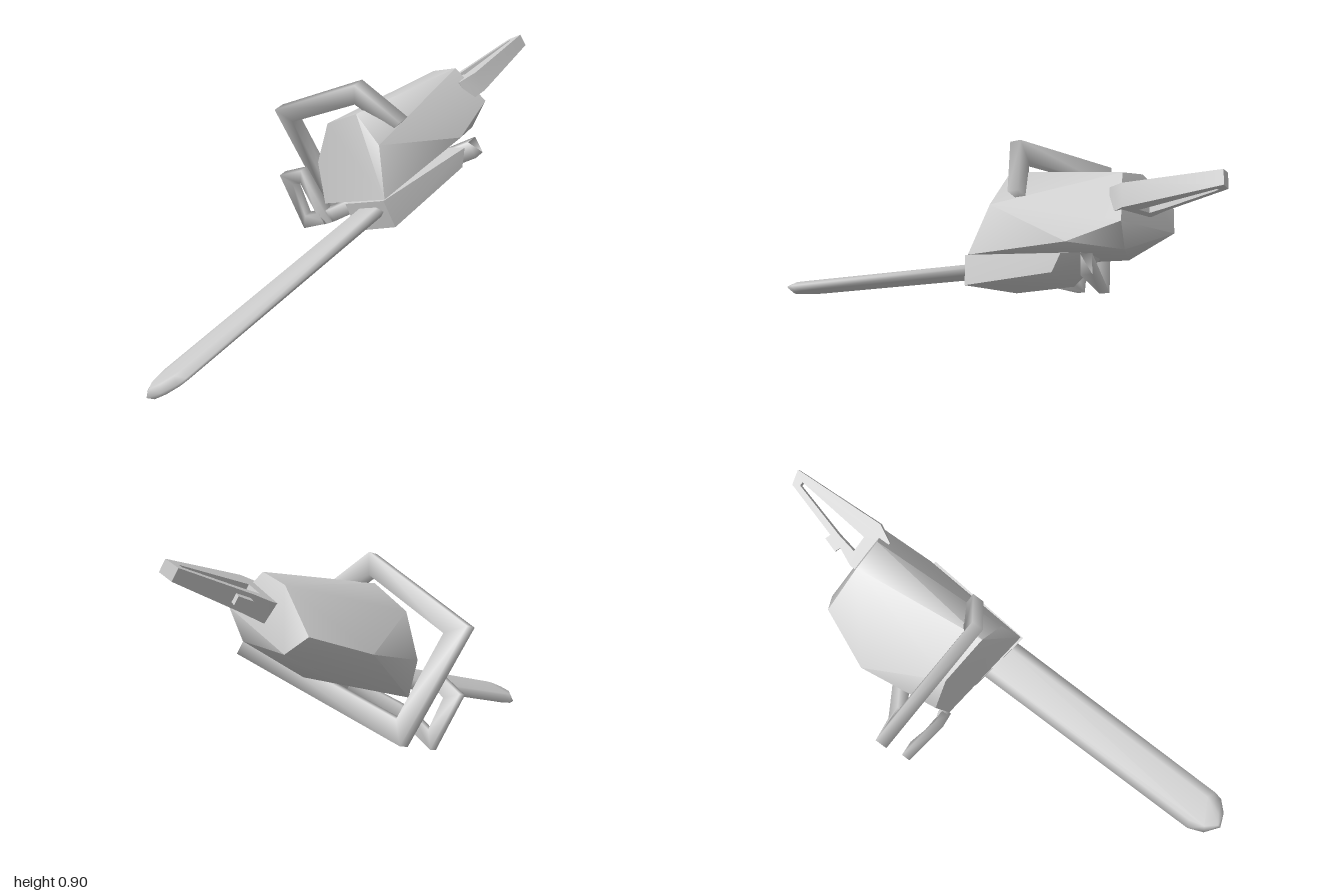
import * as THREE from 'three';
import { ConvexGeometry } from 'three/addons/geometries/ConvexGeometry.js';
import { toCreasedNormals, mergeVertices } from 'three/addons/utils/BufferGeometryUtils.js';

const material = new THREE.MeshStandardMaterial({ color: 0xcccccc });
const V = (p) => new THREE.Vector3(...p);

function part(name, geometry) {
  const mesh = new THREE.Mesh(geometry, material);
  mesh.name = name;
  return mesh;
}

// Convex solid through a few corner points, soft below the crease angle
const hull = (points, crease = 1.0) => toCreasedNormals(new ConvexGeometry(points.map(V)), crease);

// Mitred rectangular tube along a path; a = half width in plane, b = half depth along z
function sweep(path, a, b, closed = false) {
  const pts = path.map(V), n = pts.length, ref = new THREE.Vector3(0, 0, 1);
  const pos = [], idx = [];
  const side = (p, q) => new THREE.Vector3().crossVectors(ref, q.clone().sub(p)).normalize();
  for (let i = 0; i < n; i++) {
    const hasPrev = closed || i > 0, hasNext = closed || i < n - 1;
    const s0 = hasPrev ? side(pts[(i + n - 1) % n], pts[i]) : null;
    const s1 = hasNext ? side(pts[i], pts[(i + 1) % n]) : s0;
    const s = (s0 || s1).clone().add(s1).normalize();
    s.multiplyScalar(a / Math.max(0.5, s.dot(s1)));
    for (const [x, z] of [[1, 1], [-1, 1], [-1, -1], [1, -1]]) {
      pos.push(...pts[i].clone().addScaledVector(s, x).addScaledVector(ref, z * b).toArray());
    }
  }
  for (let i = 0; i < (closed ? n : n - 1); i++) {
    for (let k = 0; k < 4; k++) {
      const k1 = (k + 1) % 4, j = (i + 1) % n;
      idx.push(i * 4 + k, i * 4 + k1, j * 4 + k1, i * 4 + k, j * 4 + k1, j * 4 + k);
    }
  }
  if (!closed) {
    const e = (n - 1) * 4;
    idx.push(0, 2, 1, 0, 3, 2, e, e + 1, e + 2, e, e + 2, e + 3);
  }
  const g = new THREE.BufferGeometry();
  g.setAttribute('position', new THREE.Float32BufferAttribute(pos, 3));
  g.setIndex(idx);
  g.computeVertexNormals();
  return g;
}

// Flat blade with a blunt rounded tip, thicker along its middle
function guideBar() {
  const outline = [[-1, -0.2], [-1, 0.885], [-0.72, 0.95], [-0.1, 0.992], [0.5, 0.965], [0.92, 0.92], [1, 0.885], [1, -0.2]];
  const points = [];
  for (const [u, w] of outline) {
    points.push([0.308 + 0.093 * u, 0.232, w]);
    for (const v of [-0.02, 0.02]) points.push([0.308 + 0.06 * u, 0.232 + v, w > 0 ? w - 0.02 : w]);
  }
  const g = new ConvexGeometry(points.map(V));
  g.deleteAttribute('normal');
  const smooth = mergeVertices(g);
  smooth.computeVertexNormals();
  return smooth;
}

// Tapered loop grip, thinner towards its far end
function rearHandle() {
  const shape = new THREE.Shape([[0.265, 0.76], [0.425, 0.76], [0.46, 0.83], [0.437, 1.19],
    [0.38, 1.175], [0.3, 0.9], [0.268, 0.83]].map((p) => new THREE.Vector2(...p)));
  shape.holes.push(new THREE.Path([[0.32, 0.85], [0.335, 0.93], [0.395, 1.15], [0.41, 1.15], [0.385, 0.85]]
    .map((p) => new THREE.Vector2(...p))));
  const g = new THREE.ExtrudeGeometry(shape, { depth: 1, bevelEnabled: false });
  g.translate(0, 0, -0.5);
  g.rotateX(-Math.PI / 2);
  const p = g.attributes.position;
  for (let i = 0; i < p.count; i++) {
    const t = (-p.getZ(i) - 0.8) / 0.39;
    p.setY(i, 0.41 + 0.02 * t + p.getY(i) * (0.085 - 0.035 * t));
  }
  return toCreasedNormals(g, 0.8);
}

export function createModel() {
  const group = new THREE.Group();
  group.name = 'chainsaw';

  const saw = new THREE.Group();
  saw.name = 'saw';
  group.add(saw);

  saw.add(part('engineBody', hull([
    [0.02, 0.287, -0.185], [0.43, 0.276, -0.14], [0.025, 0.443, -0.25], [0.429, 0.453, -0.24],
    [0.15, 0.575, -0.29], [0.354, 0.584, -0.275],
    [-0.02, 0.453, -0.569], [0.03, 0.3, -0.55], [0.08, 0.43, -0.8], [0.118, 0.334, -0.824],
    [0.282, 0.518, -0.8], [0.404, 0.503, -0.797], [0.447, 0.33, -0.82], [0.357, 0.25, -0.775],
    [0.14, 0.25, -0.65], [0.455, 0.28, -0.6],
  ])));

  saw.add(part('barCover', hull([
    [0.161, 0.16, -0.155], [0.427, 0.165, -0.125], [0.16, 0.275, -0.17], [0.433, 0.276, -0.13],
    [0.463, 0.24, -0.586], [0.45, 0.18, -0.54], [0.18, 0.165, -0.44], [0.2, 0.28, -0.6],
  ])));

  saw.add(part('guideBar', guideBar()));

  saw.add(part('frontHandle', sweep([
    [0.43, 0.47, -0.375], [0.367, 0.65, -0.325], [-0.128, 0.65, -0.345],
    [-0.13, 0.217, -0.336], [0.43, 0.2, -0.67],
  ], 0.036, 0.024)));

  // Hand guard: closed frame plus its arm to the body
  saw.add(part('handGuardFrame', sweep([
    [-0.175, 0.415, -0.226], [-0.04, 0.42, -0.202], [-0.021, 0.23, -0.188], [-0.172, 0.223, -0.2],
  ], 0.026, 0.018, true)));
  saw.add(part('handGuardArm', sweep([[-0.035, 0.23, -0.19], [0.02, 0.23, -0.205], [0.18, 0.228, -0.33]], 0.027, 0.02)));

  saw.add(part('rearHandle', rearHandle()));
  const trigger = part('trigger', new THREE.BoxGeometry(0.035, 0.035, 0.06));
  trigger.position.set(0.3, 0.42, -0.93);
  trigger.rotation.y = -0.3;
  saw.add(trigger);

  // Lay the saw on its side, nose down and forward
  saw.applyMatrix4(new THREE.Matrix4().makeBasis(
    V([0.92, 0.38, -0.04]), V([-0.346, 0.874, 0.33]), V([0.16, -0.292, 0.943])));
  return group;
}
